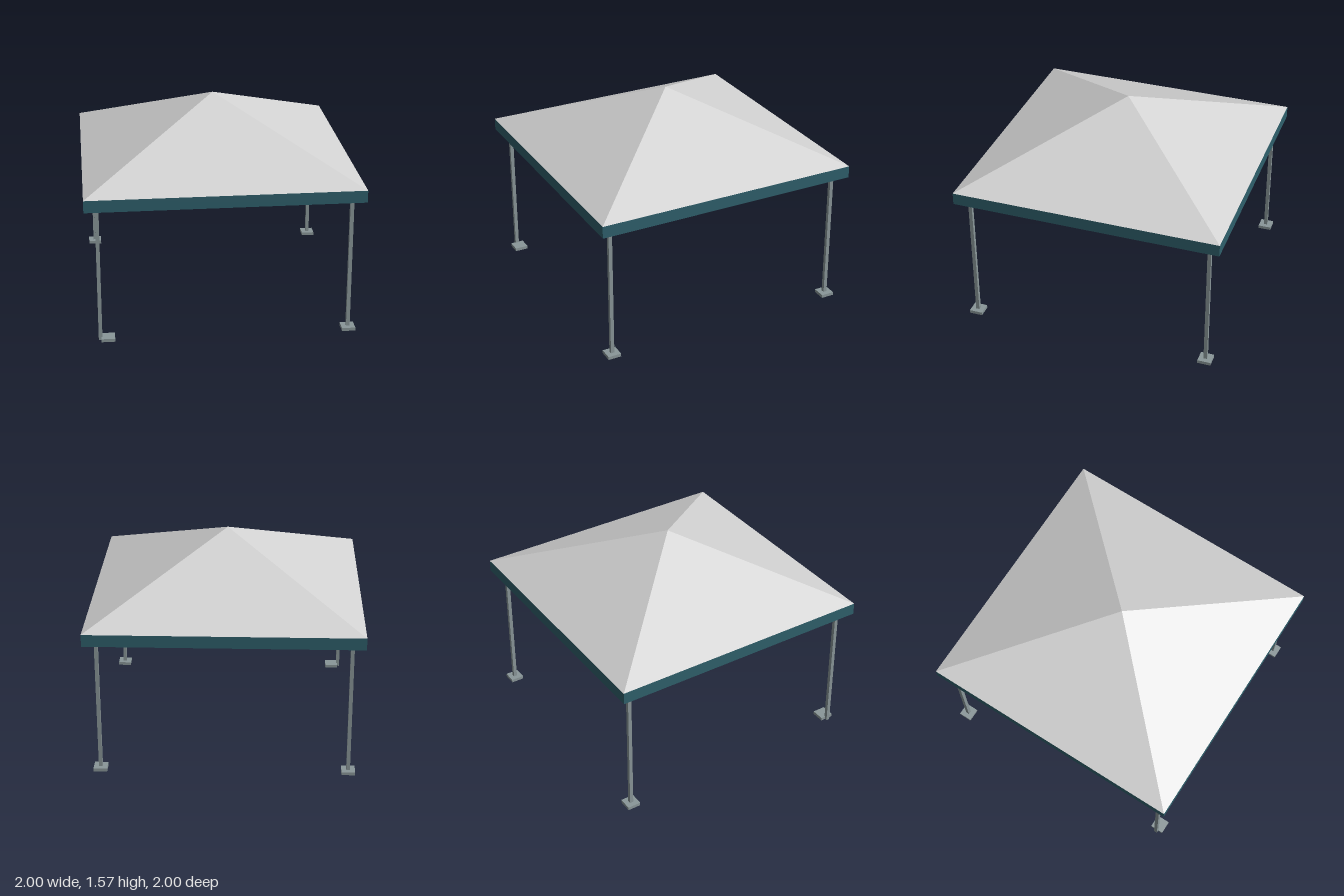
import * as THREE from 'three';

const EAVE = 1.115, PEAK = 1.57, POST = 0.908;

function makeMaterial(name, color) {
  const m = new THREE.MeshStandardMaterial({ color });
  m.name = name;
  return m;
}

export function createModel() {
  const group = new THREE.Group();
  const roofGrey = makeMaterial('roof grey', 0xd2d2d2);
  const teal = makeMaterial('fascia teal', 0x2f606c);
  const steel = makeMaterial('post grey', 0x8a9799);

  const add = (name, geometry, material, x, y, z) => {
    const mesh = new THREE.Mesh(geometry, material);
    mesh.name = name;
    mesh.position.set(x, y, z);
    group.add(mesh);
    return mesh;
  };

  // Closed four-sided pyramid roof; its base is the ceiling
  const roof = new THREE.ConeGeometry(Math.SQRT2, PEAK - EAVE, 4, 1, false, Math.PI / 4).toNonIndexed();
  roof.computeVertexNormals();
  add('roof', roof, roofGrey, 0, (EAVE + PEAK) / 2, 0);

  // Square fascia frame hanging under the eaves
  const square = (r, path) => {
    path.moveTo(-r, -r);
    path.lineTo(r, -r);
    path.lineTo(r, r);
    path.lineTo(-r, r);
    path.closePath();
    return path;
  };
  const frame = square(1, new THREE.Shape());
  frame.holes.push(square(0.975, new THREE.Path()));
  const fascia = new THREE.ExtrudeGeometry(frame, { depth: 0.09, bevelEnabled: false });
  fascia.rotateX(-Math.PI / 2);
  add('fascia', fascia, teal, 0, EAVE - 0.09, 0);

  // Corner posts on base plates; one plate sits off-centre
  const postGeo = new THREE.BoxGeometry(0.027, EAVE, 0.027);
  const plateGeo = new THREE.BoxGeometry(0.1, 0.024, 0.1);
  for (const sx of [-1, 1]) {
    for (const sz of [-1, 1]) {
      const shift = sx < 0 && sz > 0 ? 0.055 : 0;
      add('post', postGeo, steel, sx * POST, EAVE / 2, sz * POST);
      add('basePlate', plateGeo, steel, sx * POST + shift, 0.012, sz * POST);
    }
  }
  return group;
}
